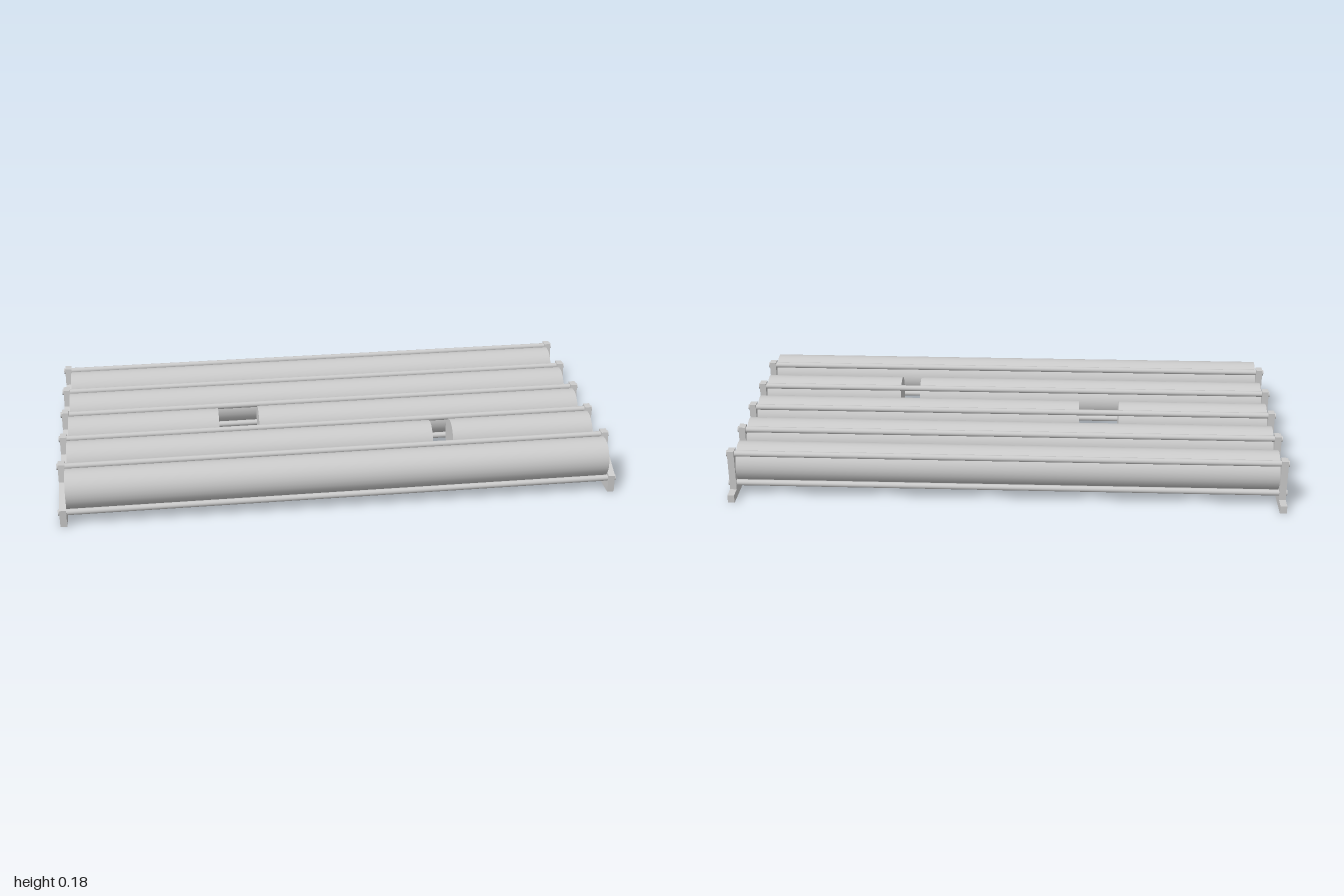
import * as THREE from 'three';

const ROWS = [0.424, 0.215, 0.018, -0.179, -0.376]; // roll centres along z, front to back
const ROLL_Y = 0.109, ROLL_R = 0.071, ROLL_END = 0.97;
const GAPS = { 1: [0.365, 0.44], 2: [-0.41, -0.26] }; // missing stretch of roll, by row
const RODS = [[0.06, 0.05], [-0.061, 0.05], [-0.061, 0.166]]; // offset in z, height

export function createModel() {
  const model = new THREE.Group();
  model.name = 'rollRack';
  const material = new THREE.MeshStandardMaterial({ color: 0xcccccc });
  const add = (geometry, name, x = 0, y = 0, z = 0) => {
    const mesh = new THREE.Mesh(geometry, material);
    mesh.name = name;
    mesh.position.set(x, y, z);
    model.add(mesh);
  };

  // Cylinder lying along x between two ends
  const bar = (name, x0, x1, radius, sides, y, z) => {
    const geometry = new THREE.CylinderGeometry(radius, radius, x1 - x0, sides);
    geometry.rotateZ(Math.PI / 2);
    add(geometry, name, (x0 + x1) / 2, y, z);
  };

  // Side plate profile: a base strip with one sloped cradle and post per row
  const points = [[0.5, 0]];
  for (const z of ROWS) {
    const front = z + 0.0755, back = z - 0.077;
    if (z !== ROWS[0]) points.push([front, 0.029]);
    points.push([front, 0.064], [z - 0.034, 0.117], [z - 0.043, 0.18], [back, 0.18], [back, 0.029]);
  }
  points.push([-0.5, 0.029], [-0.5, 0]);
  const profile = new THREE.Shape(points.map(([z, y]) => new THREE.Vector2(-z, y)));
  const thickness = 0.024;
  const plate = new THREE.ExtrudeGeometry(profile, { depth: thickness, bevelEnabled: false });
  plate.rotateY(Math.PI / 2); // extrusion now runs along +x, profile along z
  add(plate, 'leftSidePlate', 0.971);
  add(plate, 'rightSidePlate', -0.971 - thickness);

  // Rolls resting on rods that pass through both plates
  ROWS.forEach((z, i) => {
    for (const [dz, y] of RODS) bar('supportRod', -1, 1, 0.011, 16, y, z + dz);
    const [a, b] = GAPS[i] ?? [ROLL_END, ROLL_END];
    bar('roll', -ROLL_END, a, ROLL_R, 28, ROLL_Y, z);
    if (b < ROLL_END) bar('roll', b, ROLL_END, ROLL_R, 28, ROLL_Y, z);
  });

  return model;
}
